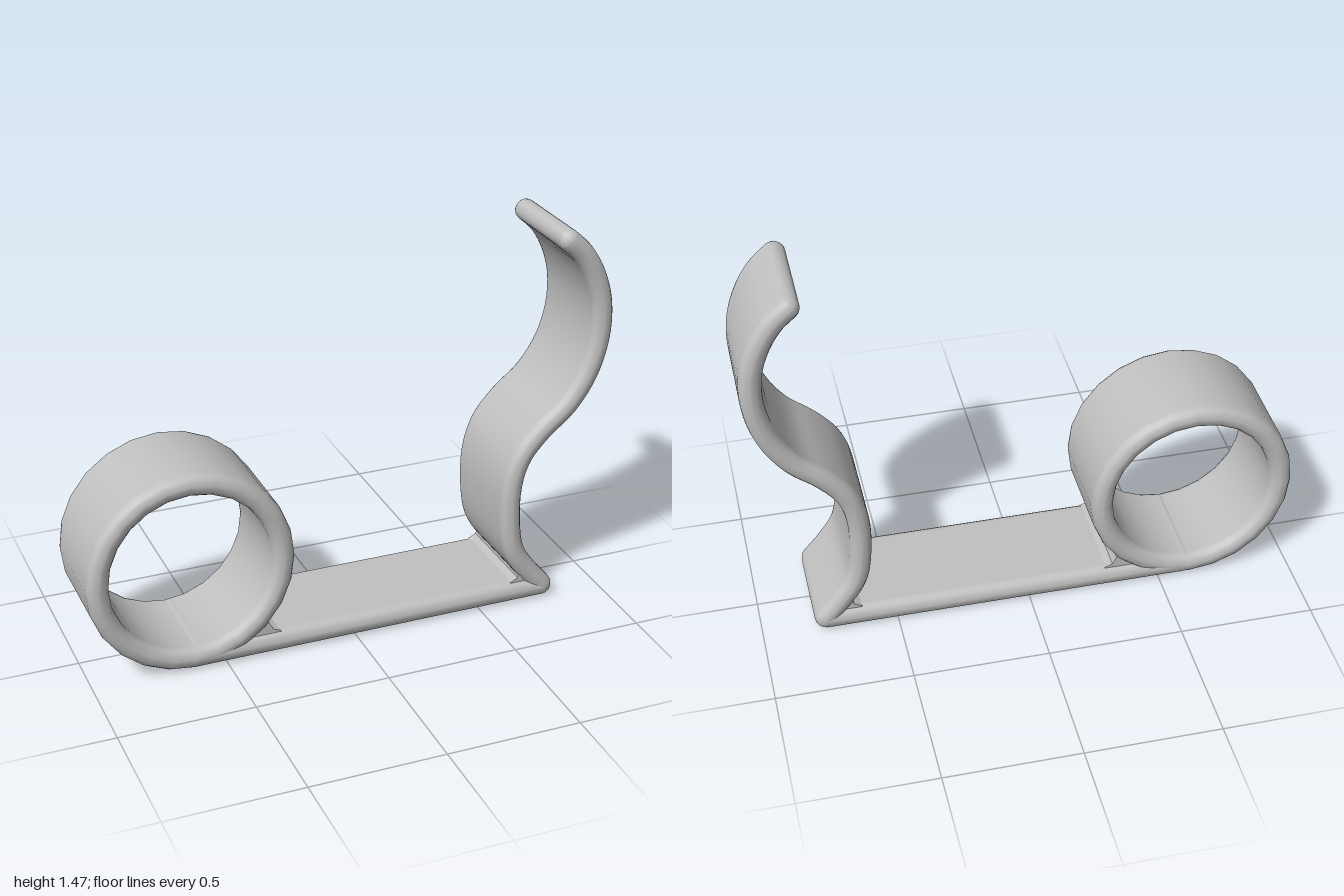
import * as THREE from 'three';

const HALF_WIDTH = 0.206;

// Rounded-rectangle section as [across, z] pairs, counter-clockwise
function section(h, w, r) {
  const pts = [];
  const corners = [[1, 1], [-1, 1], [-1, -1], [1, -1]];
  corners.forEach(([sx, sz], q) => {
    for (let k = 0; k <= 4; k++) {
      const a = (q + k / 4) * Math.PI / 2;
      pts.push([sx * (h - r) + r * Math.cos(a), sz * (w - r) + r * Math.sin(a)]);
    }
  });
  return pts;
}

// Sweep a wide flat band along a path in the xy plane; open ends are rounded over
function band(path, h, closed) {
  const n = path.length, rows = [];
  const tangentAt = (i) => {
    const a = closed ? path[(i + n - 1) % n] : path[Math.max(i - 1, 0)];
    const b = closed ? path[(i + 1) % n] : path[Math.min(i + 1, n - 1)];
    return new THREE.Vector2(b.x - a.x, b.y - a.y).normalize();
  };
  const addRow = (i, shift, angle) => {
    const t = tangentAt(i), c = Math.cos(angle);
    const hh = h * c, ww = HALF_WIDTH - h * (1 - c);
    rows.push(section(hh, ww, hh * 0.92).map(([u, z]) =>
      [path[i].x + t.x * shift - t.y * u, path[i].y + t.y * shift + t.x * u, z]));
  };
  const capAngles = [1.5, 1.15, 0.75, 0.35];
  if (!closed) capAngles.forEach((a) => addRow(0, -h * Math.sin(a), a));
  for (let i = 0; i < n; i++) addRow(i, 0, 0);
  if (!closed) capAngles.slice().reverse().forEach((a) => addRow(n - 1, h * Math.sin(a), a));

  const m = rows[0].length, count = rows.length, index = [];
  const positions = rows.flat(2);
  for (let i = 0; i < (closed ? count : count - 1); i++) {
    for (let j = 0; j < m; j++) {
      const k = (j + 1) % m, next = (i + 1) % count;
      const a = i * m + j, b = i * m + k, c = next * m + k, d = next * m + j;
      index.push(a, b, c, a, c, d);
    }
  }
  if (!closed) {
    const last = (count - 1) * m;
    for (let j = 1; j < m - 1; j++) {
      index.push(0, j + 1, j, last, last + j, last + j + 1);
    }
  }
  const geo = new THREE.BufferGeometry();
  geo.setAttribute('position', new THREE.Float32BufferAttribute(positions, 3));
  geo.setIndex(index);
  geo.computeVertexNormals();
  return geo;
}

// Small web filling the corner where two bands meet
function web(points) {
  const depth = 2 * HALF_WIDTH - 0.04;
  const shape = new THREE.Shape(points.map(([x, y]) => new THREE.Vector2(x, y)));
  return new THREE.ExtrudeGeometry(shape, { depth, bevelEnabled: false }).translate(0, 0, -depth / 2);
}

export function createModel() {
  const model = new THREE.Group();
  const grey = new THREE.MeshStandardMaterial({ color: 0xc0c0c0 });
  grey.name = 'plain grey';
  const add = (name, geo) => {
    const mesh = new THREE.Mesh(geo, grey);
    mesh.name = name;
    model.add(mesh);
  };

  // Closed ring at the left end
  const circle = [];
  for (let i = 0; i < 24; i++) {
    const a = i / 24 * Math.PI * 2;
    circle.push(new THREE.Vector2(-0.617 + 0.343 * Math.cos(a), 0.388 + 0.347 * Math.sin(a)));
  }
  add('ring', band(circle, 0.041, true));

  // Flat bar along the ground
  const bar = [];
  for (let i = 0; i <= 8; i++) bar.push(new THREE.Vector2(-0.6 + i / 8 * 1.364, 0.0425));
  add('baseBar', band(bar, 0.0425, false));

  // S-shaped spring arm
  const arm = new THREE.CatmullRomCurve3([
    [0.765, 0.046], [0.705, 0.118], [0.648, 0.205], [0.626, 0.3], [0.624, 0.48],
    [0.66, 0.602], [0.738, 0.697], [0.835, 0.78], [0.912, 0.895], [0.953, 1.03],
    [0.954, 1.17], [0.92, 1.285], [0.867, 1.373], [0.81, 1.427],
  ].map(([x, y]) => new THREE.Vector3(x, y, 0))).getPoints(48);
  add('springArm', band(arm, 0.04, false));

  // Fillets at the two joints
  add('ringFillet', web([[-0.43, 0.05], [-0.29, 0.05], [-0.29, 0.083], [-0.32, 0.095],
    [-0.335, 0.125], [-0.38, 0.125], [-0.47, 0.083]]));
  add('armFillet', web([[0.64, 0.05], [0.76, 0.05], [0.7, 0.12], [0.664, 0.118],
    [0.66, 0.098], [0.63, 0.083]]));

  return model;
}
